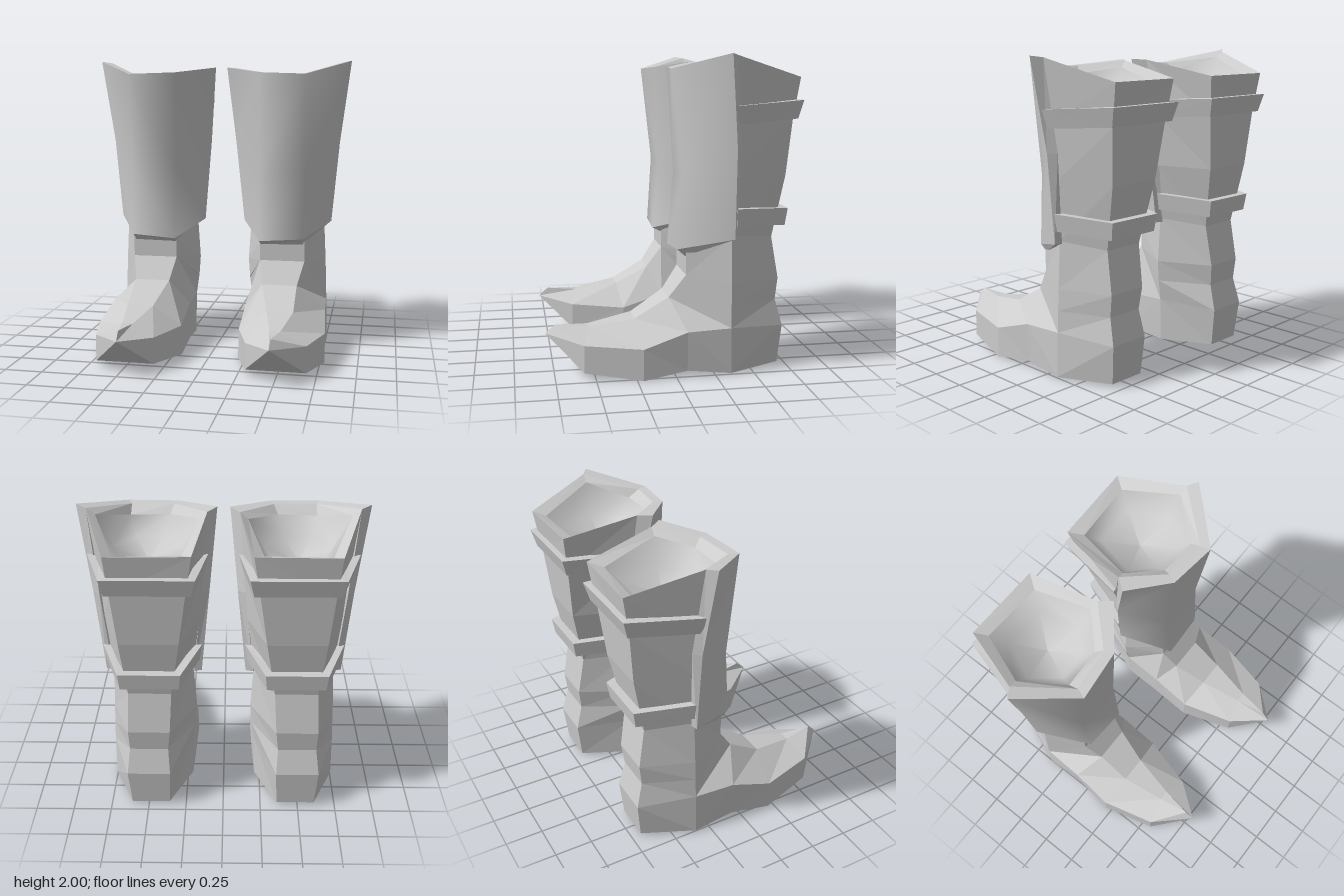
import * as THREE from 'three';

const leather = new THREE.MeshStandardMaterial({ color: 0xcccccc, side: THREE.DoubleSide });
leather.name = 'greyLeather';

// Skin a row of cross-sections; side -1 mirrors it for the other foot
function loft(name, rings, side, { closed = true, smooth = false, capEnds = false } = {}) {
  const n = rings[0].length;
  const pos = rings.flat().flatMap(([x, y, z]) => [x * side, y, z]);
  const index = [];
  const P = i => new THREE.Vector3().fromArray(pos, i * 3);
  const tri = (a, b, c) => {
    const area = P(b).sub(P(a)).cross(P(c).sub(P(a))).length();
    if (area > 1e-6) index.push(...(side > 0 ? [a, b, c] : [a, c, b]));
  };
  for (let i = 0; i < rings.length - 1; i++) {
    for (let j = 0; j < (closed ? n : n - 1); j++) {
      const k = (j + 1) % n, a = i * n + j, b = i * n + k;
      tri(a, b, b + n);
      tri(a, b + n, a + n);
    }
  }
  if (capEnds) {
    const last = (rings.length - 1) * n;
    for (let j = 1; j < n - 1; j++) {
      tri(0, j + 1, j);
      tri(last, last + j, last + j + 1);
    }
  }
  let geo = new THREE.BufferGeometry();
  geo.setAttribute('position', new THREE.Float32BufferAttribute(pos, 3));
  geo.setIndex(index);
  if (!smooth) geo = geo.toNonIndexed();
  geo.computeVertexNormals();
  const mesh = new THREE.Mesh(geo, leather);
  mesh.name = name;
  return mesh;
}

// Move a point level towards the middle of the leg
const inset = (p, t) => [p[0] + (0.46 - p[0]) * t, p[1], p[2] + (-0.42 - p[2]) * t];

// Shaft ring: outer side, back pair, inner side, front pair
const legRing = (xo, xi, ys, zs, bo, bi, yb, zb, fo, fi, yf, zf) => [
  [xo, ys, zs], [bo, yb, zb], [bi, yb, zb], [xi, ys, zs], [fi, yf, zf], [fo, yf, zf]];

// Foot section: bottom, side, upper side and top, outer then inner
const footSection = (zb, yb, bo, bi, zs, ys, so, si, zu, yu, uo, ui, zt, yt, to, ti) => [
  [bo, yb, zb], [so, ys, zs], [uo, yu, zu], [to, yt, zt],
  [ti, yt, zt], [ui, yu, zu], [si, ys, zs], [bi, yb, zb]];

function createBoot(side) {
  const boot = new THREE.Group();

  // Heel and shaft, rising to the rim and over it
  const rim = [[0.78, 1.95, -0.35], [0.64, 1.83, -0.71], [0.24, 1.83, -0.69],
    [0.15, 1.91, -0.31], [0.34, 1.87, -0.13], [0.59, 1.86, -0.12]];
  const shaft = [
    legRing(0.755, 0.215, 0.01, -0.35, 0.61, 0.36, 0.02, -0.69, 0.6, 0.3, 0.01, -0.345),
    legRing(0.75, 0.21, 0.30, -0.35, 0.63, 0.35, 0.27, -0.715, 0.6, 0.3, 0.30, -0.32),
    legRing(0.745, 0.19, 0.44, -0.35, 0.61, 0.36, 0.44, -0.67, 0.6, 0.3, 0.44, -0.30),
    legRing(0.74, 0.18, 0.58, -0.35, 0.615, 0.345, 0.58, -0.685, 0.61, 0.30, 0.62, -0.085),
    legRing(0.725, 0.20, 0.88, -0.35, 0.605, 0.33, 0.85, -0.64, 0.61, 0.30, 0.75, -0.085),
    legRing(0.765, 0.15, 1.25, -0.36, 0.64, 0.27, 1.25, -0.715, 0.60, 0.31, 1.25, -0.13),
    legRing(0.79, 0.125, 1.6, -0.36, 0.67, 0.22, 1.6, -0.745, 0.60, 0.31, 1.6, -0.11),
    [[0.835, 1.99, -0.345], [0.69, 1.86, -0.785], [0.18, 1.86, -0.775],
      [0.10, 1.95, -0.30], [0.315, 1.92, -0.08], [0.588, 1.91, -0.05]],
    rim,
  ];
  boot.add(loft('shaft', shaft, side));
  boot.add(loft('heelSole', [Array(6).fill([0.46, 0.01, -0.5]), shaft[0]], side));

  // Shallow smooth bowl inside the opening
  const bowl = (t, y) => rim.map(p => { const q = inset(p, t); return [q[0], y, q[2]]; });
  boot.add(loft('opening', [rim, bowl(0.3, 1.75), bowl(1, 1.68)], side, { smooth: true }));

  // Foot from the ankle to the turned-up toe
  boot.add(loft('foot', [
    footSection(-0.35, 0.01, 0.755, 0.215, -0.35, 0.30, 0.75, 0.21, -0.35, 0.58, 0.74, 0.18, -0.085, 0.62, 0.61, 0.30),
    footSection(-0.35, 0.01, 0.755, 0.215, -0.35, 0.30, 0.75, 0.21, -0.35, 0.30, 0.75, 0.21, -0.085, 0.62, 0.61, 0.30),
    footSection(-0.07, 0.04, 0.75, 0.20, -0.07, 0.29, 0.76, 0.20, -0.07, 0.29, 0.76, 0.20, 0.02, 0.47, 0.57, 0.33),
    footSection(0.21, 0.0, 0.78, 0.195, 0.21, 0.20, 0.78, 0.20, 0.21, 0.20, 0.78, 0.20, 0.24, 0.34, 0.57, 0.39),
    footSection(0.57, 0.04, 0.69, 0.30, 0.57, 0.215, 0.69, 0.30, 0.57, 0.215, 0.69, 0.30, 0.53, 0.29, 0.52, 0.45),
    footSection(0.80, 0.245, 0.48, 0.48, 0.80, 0.245, 0.48, 0.48, 0.80, 0.245, 0.48, 0.48, 0.74, 0.30, 0.485, 0.485),
  ], side));

  // Shin guard: smooth face, flat lining and edges
  const face = [
    [[0.90, 2.0, -0.30], [0.61, 1.91, 0.015], [0.29, 1.92, -0.02], [0.04, 1.955, -0.22]],
    [[0.825, 1.43, -0.355], [0.61, 1.25, -0.06], [0.29, 1.25, -0.06], [0.09, 1.43, -0.32]],
    [[0.775, 0.87, -0.36], [0.60, 0.785, -0.03], [0.30, 0.765, -0.02], [0.145, 0.86, -0.36]],
  ];
  const lining = [
    [[0.835, 1.99, -0.345], [0.588, 1.91, -0.05], [0.315, 1.92, -0.08], [0.10, 1.95, -0.30]],
    [[0.78, 1.43, -0.40], [0.59, 1.25, -0.11], [0.315, 1.25, -0.11], [0.14, 1.43, -0.37]],
    [[0.73, 0.87, -0.375], [0.595, 0.74, -0.08], [0.305, 0.735, -0.08], [0.195, 0.86, -0.375]],
  ];
  const wrap = face.map((row, i) => [row[0], ...lining[i], row[3]]).reverse();
  boot.add(loft('shinGuardFace', face, side, { closed: false, smooth: true }));
  boot.add(loft('shinGuardLining', wrap, side, { closed: false }));
  boot.add(loft('shinGuardTopEdge', [lining[0], face[0]], side, { closed: false }));
  boot.add(loft('shinGuardBottomEdge', [face[2], lining[2]], side, { closed: false }));

  // Straps round the calf
  const strap = (name, pts, height, lean) => boot.add(loft(name, pts.map(p => {
    const low = inset([p[0], p[1] - height, p[2]], lean);
    return [p, low, inset(low, 0.2), inset(p, 0.2)];
  }), side, { capEnds: true }));
  strap('upperStrap', [[0.85, 1.69, -0.345], [0.72, 1.72, -0.80], [0.16, 1.72, -0.80], [0.095, 1.69, -0.345]], 0.115, 0.08);
  strap('lowerStrap', [[0.785, 1.06, -0.37], [0.655, 1.04, -0.73], [0.265, 1.04, -0.73], [0.14, 1.06, -0.37]], 0.11, 0.05);
  return boot;
}

export function createModel() {
  const model = new THREE.Group();
  model.name = 'boots';
  for (const side of [1, -1]) {
    const boot = createBoot(side);
    boot.name = side > 0 ? 'leftBoot' : 'rightBoot';
    model.add(boot);
  }
  return model;
}
